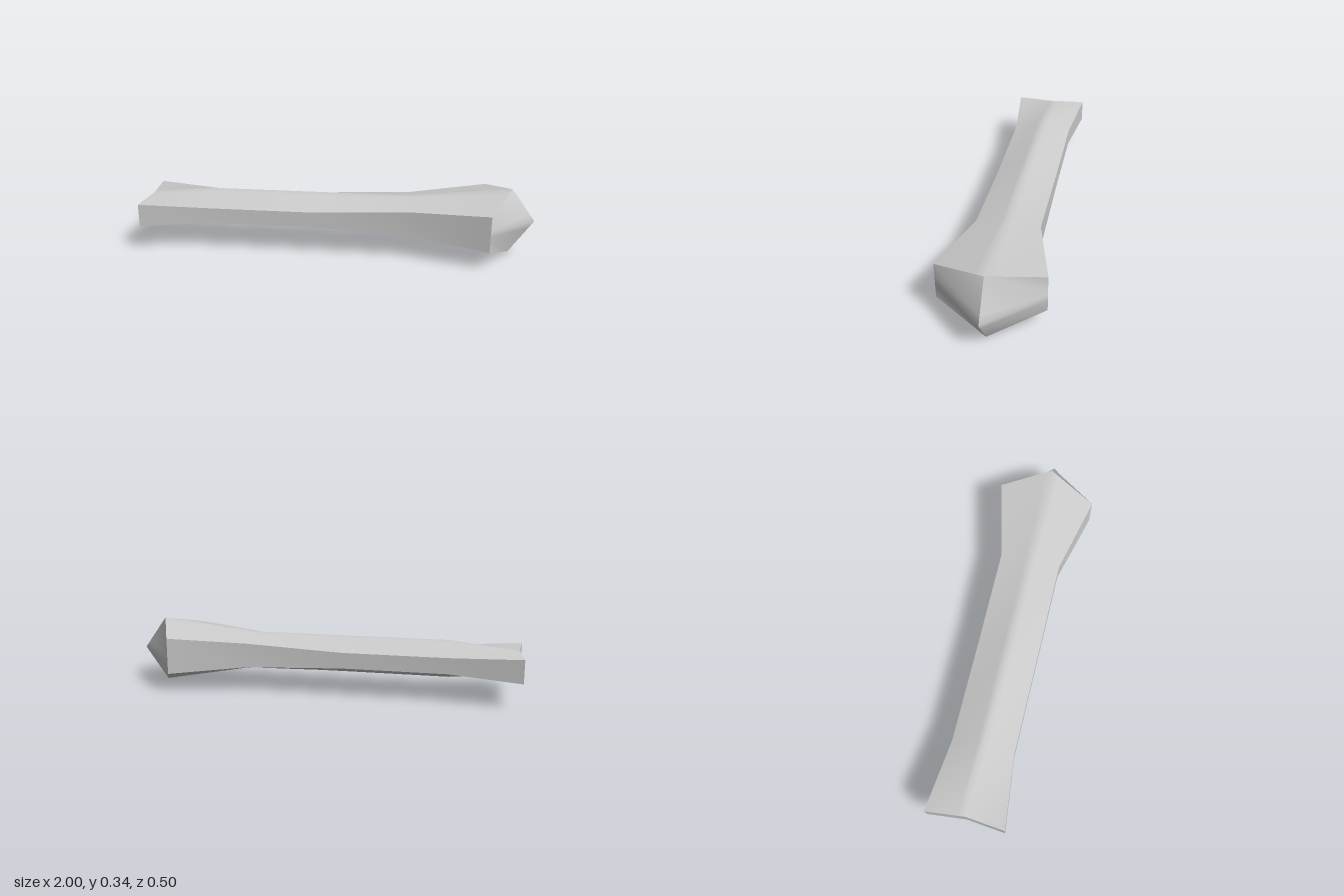
import * as THREE from 'three';
import { toCreasedNormals } from 'three/addons/utils/BufferGeometryUtils.js';

const Z0 = 0.006; // centre plane of the handle

// Skin a grid of points (rows of equal length) into a surface
function skin(rows, crease) {
  const pos = rows.flat(2);
  const n = rows[0].length;
  const index = [];
  for (let i = 0; i < rows.length - 1; i++) {
    for (let j = 0; j < n - 1; j++) {
      const a = i * n + j, b = a + n;
      index.push(a, b, a + 1, b, b + 1, a + 1);
    }
  }
  const geo = new THREE.BufferGeometry();
  geo.setAttribute('position', new THREE.Float32BufferAttribute(pos, 3));
  geo.setIndex(index);
  return toCreasedNormals(geo, THREE.MathUtils.degToRad(crease));
}

// Hexagonal ring with support points either side of each ridge
function ring([x, ridgeX, half, sideTop, sideBottom, ridgeTop, ridgeBottom]) {
  const point = (t, side, ridge) => {
    const k = 1 - Math.abs(t);
    return [x + (ridgeX - x) * k, side + (ridge - side) * k, Z0 + t * half];
  };
  const ts = [1, 0.17, 0, -0.17, -1];
  const top = ts.map(t => point(t, sideTop, ridgeTop));
  const bottom = ts.map(t => point(-t, sideBottom, ridgeBottom));
  return [...top, ...bottom, top[0]];
}

export function createModel() {
  const group = new THREE.Group();
  const grey = new THREE.MeshStandardMaterial({ color: 0xcccccc });
  grey.name = 'light grey';
  const add = (name, geo) => {
    const mesh = new THREE.Mesh(geo, grey);
    mesh.name = name;
    group.add(mesh);
  };

  // Shaft: side x, ridge x, half width, side top/bottom, ridge top/bottom
  const sections = [
    [-1, -0.98, 0.195, 0.248, 0.131, 0.25, 0.131],
    [-0.64, -0.64, 0.155, 0.23, 0.15, 0.287, 0.097],
    [-0.12, -0.12, 0.155, 0.23, 0.15, 0.287, 0.097],
    [0.37, 0.37, 0.155, 0.253, 0.13, 0.287, 0.097],
    [0.765, 0.88, 0.252, 0.281, 0.097, 0.341, 0.003],
  ];
  add('shaft', skin(sections.map(ring), 46));

  // Shallow notched face at the narrow end
  add('endFace', skin([
    [[-1, 0.248, Z0 + 0.195], [-1, 0.131, Z0 + 0.195]],
    [[-0.98, 0.25, Z0], [-0.98, 0.131, Z0]],
    [[-1, 0.248, Z0 - 0.195], [-1, 0.131, Z0 - 0.195]],
  ], 30));

  // Pointed pommel: one facet on each side, meeting along a sharp prow
  const prow = [[0.88, 0.341], [0.975, 0.21], [1, 0.175], [0.976, 0.14], [0.88, 0.003]];
  const edgeY = [0.281, 0.21, 0.18, 0.15, 0.097];
  for (const side of [1, -1]) {
    const outer = edgeY.map(y => [0.765, y, Z0 + side * 0.252]);
    const inner = prow.map(([x, y]) => [x, y, Z0]);
    if (side > 0) {
      outer.reverse();
      inner.reverse();
    }
    add(side > 0 ? 'pommelFront' : 'pommelBack', skin([outer, inner], 89));
  }
  return group;
}
